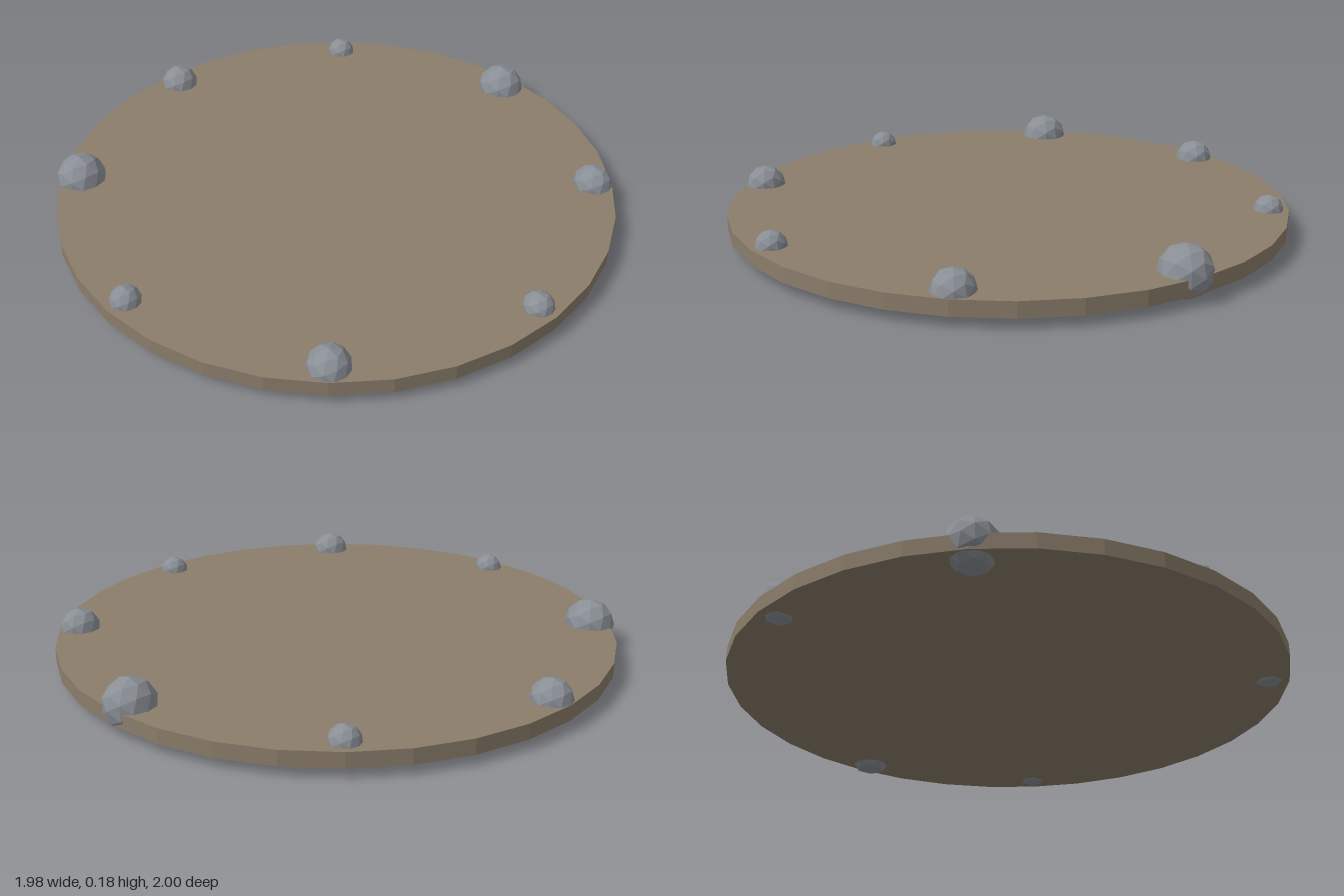
import * as THREE from 'three';

export function createModel() {
  const model = new THREE.Group();
  const earth = new THREE.MeshStandardMaterial({ color: 0x8b7d6b, flatShading: true });
  earth.name = 'earth brown';
  const stone = new THREE.MeshStandardMaterial({ color: 0x8a8f96, flatShading: true });
  stone.name = 'stone grey';

  const centreZ = 0.009;
  const topY = 0.0885;
  const thickness = 0.0531;

  // Flat round base
  const base = new THREE.Mesh(new THREE.CylinderGeometry(0.991, 0.991, thickness, 32), earth);
  base.name = 'base';
  base.position.set(0, topY - thickness / 2, centreZ);
  model.add(base);

  // Ring of faceted stones, cycling small, medium, large
  const stones = new THREE.Group();
  stones.name = 'stoneRing';
  const radii = [0.0531, 0.0708, 0.0885];
  for (let i = 0; i < 8; i++) {
    const angle = (i / 8) * Math.PI * 2;
    const rock = new THREE.Mesh(new THREE.IcosahedronGeometry(radii[i % 3], 1), stone);
    rock.name = `stone${i + 1}`;
    rock.position.set(Math.cos(angle) * 0.92, topY, centreZ - Math.sin(angle) * 0.92);
    stones.add(rock);
  }
  model.add(stones);

  return model;
}
